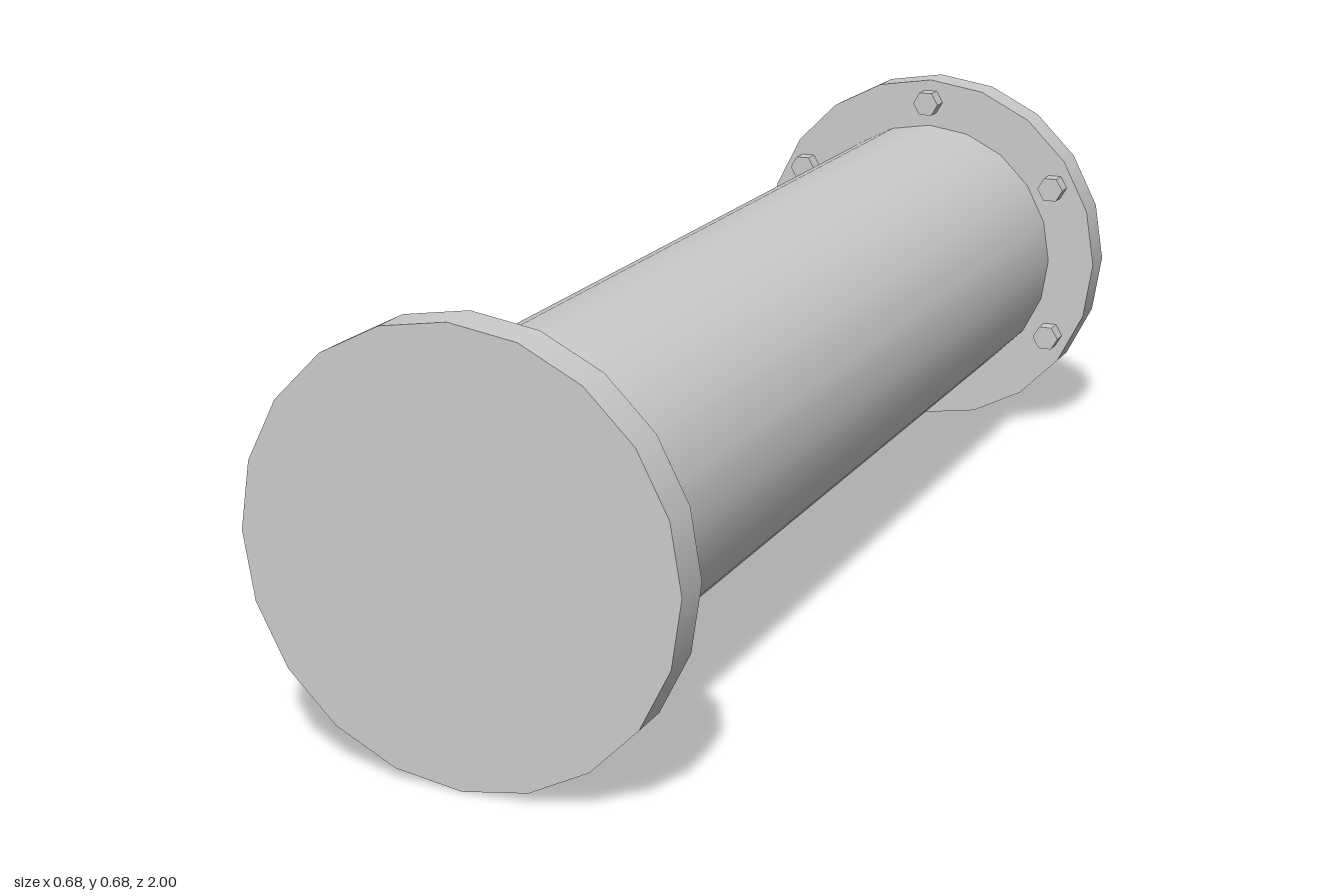
import * as THREE from 'three';

const AXIS_Y = 0.34, FLANGE_R = 0.34, FLANGE_T = 0.065;
const PIPE_R = 0.25, BOLT_CIRCLE = 0.297, BOLT_R = 0.025, BOLT_L = 0.03;

// cylinder lying along z
function zCylinder(radius, length, sides, turn = 0, open = false) {
  return new THREE.CylinderGeometry(radius, radius, length, sides, 1, open)
    .rotateY(turn).rotateX(Math.PI / 2);
}

export function createModel() {
  const model = new THREE.Group();
  model.name = 'flangedPipe';
  const smooth = new THREE.MeshStandardMaterial({ color: 0xcccccc });
  const faceted = new THREE.MeshStandardMaterial({ color: 0xcccccc, flatShading: true });

  const add = (parent, name, geometry, material) => {
    const mesh = new THREE.Mesh(geometry, material);
    mesh.name = name;
    parent.add(mesh);
    return mesh;
  };

  // straight pipe between the flanges
  const inner = 1 - FLANGE_T;
  add(model, 'pipe', zCylinder(PIPE_R, inner * 2, 20, 0, true), smooth).position.y = AXIS_Y;

  const flangeGeo = zCylinder(FLANGE_R, FLANGE_T, 20);
  const boltGeo = zCylinder(BOLT_R, BOLT_L, 6, Math.PI / 6);

  // flange with a ring of six hex bolts on its inner face, at each end
  for (const [end, s] of [['front', 1], ['back', -1]]) {
    const group = new THREE.Group();
    group.name = end + 'End';
    group.position.y = AXIS_Y;
    model.add(group);
    add(group, end + 'Flange', flangeGeo, smooth).position.z = s * (1 - FLANGE_T / 2);
    for (let i = 0; i < 6; i++) {
      const a = Math.PI / 6 + i * Math.PI / 3;
      add(group, end + 'Bolt' + (i + 1), boltGeo, faceted).position.set(
        BOLT_CIRCLE * Math.cos(a), BOLT_CIRCLE * Math.sin(a), s * (inner - BOLT_L / 2));
    }
  }
  return model;
}
